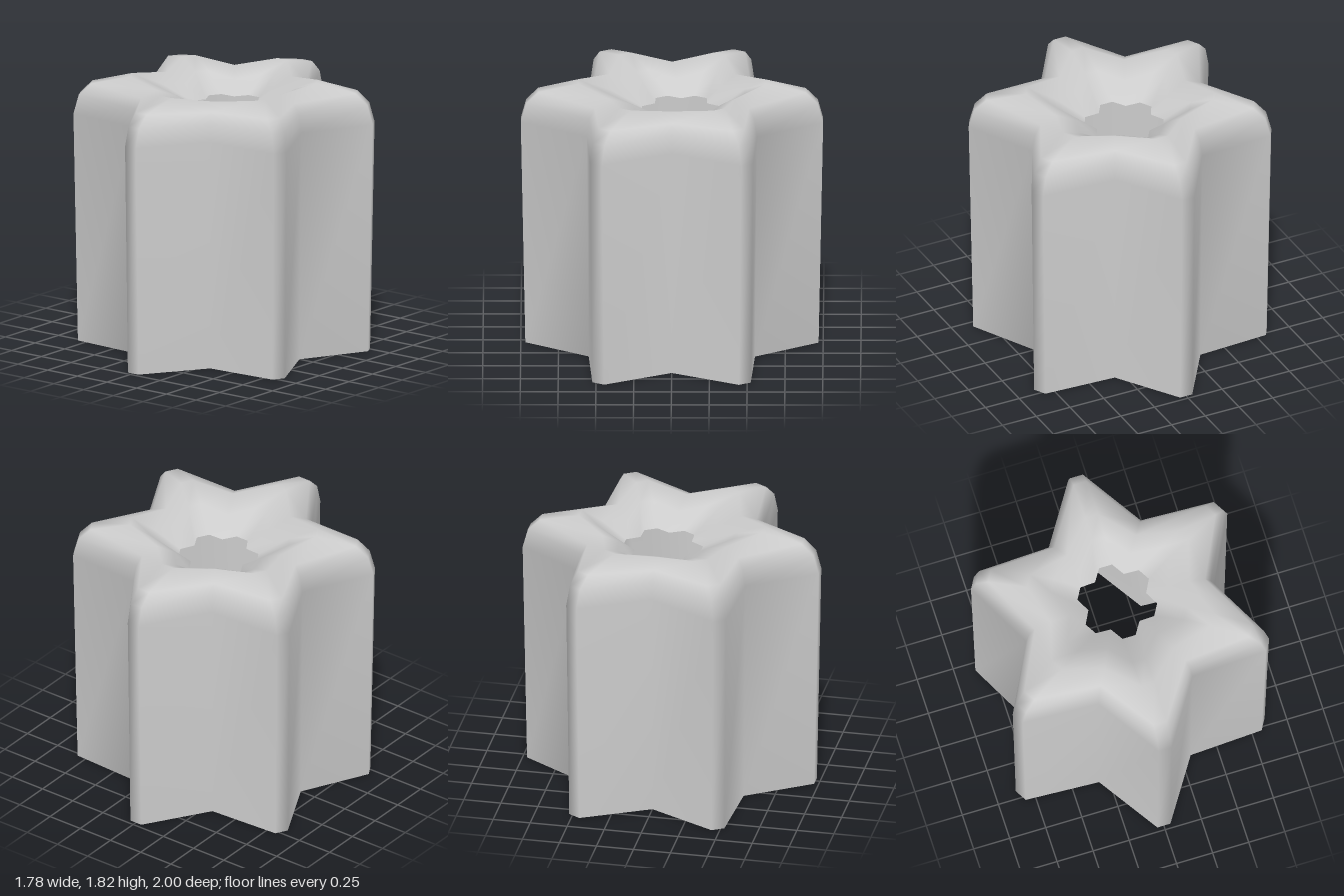
import * as THREE from 'three';

// Star cross-sections from the base, over the shoulder and down into the funnel:
// [tip radius, tip height, notch radius, notch height, centre z]
const RINGS = [
  [0.97, 0, 0.635, 0, 0],
  [1.0, 1.55, 0.65, 1.55, 0],
  [0.965, 1.68, 0.63, 1.67, 0],
  [0.885, 1.76, 0.59, 1.74, 0],
  [0.62, 1.82, 0.48, 1.785, 0],
  [0.45, 1.75, 0.34, 1.72, -0.03],
  [0.26, 1.63, 0.2, 1.63, -0.06],
];
const POINTS = 6;
const TIP_HALF_WIDTH = 0.045;

// One star outline: every point has a narrow blunt tip followed by a notch
function addRing(positions, [tipR, tipY, notchR, notchY, cz]) {
  for (let i = 0; i < POINTS; i++) {
    const t = (i / POINTS) * Math.PI * 2;
    const s = Math.sin(t), c = Math.cos(t);
    for (const w of [-TIP_HALF_WIDTH, TIP_HALF_WIDTH]) {
      positions.push(s * tipR + c * w, tipY, c * tipR - s * w + cz);
    }
    const n = t + Math.PI / POINTS;
    positions.push(Math.sin(n) * notchR, notchY, Math.cos(n) * notchR + cz);
  }
}

// Skin the stacked outlines with shared vertices for smooth shading
function loftStar() {
  const positions = [], indices = [];
  RINGS.forEach((ring) => addRing(positions, ring));
  const count = POINTS * 3;
  for (let r = 0; r < RINGS.length - 1; r++) {
    for (let j = 0; j < count; j++) {
      const k = (j + 1) % count;
      const a = r * count + j, b = r * count + k;
      const d = a + count, e = b + count;
      indices.push(a, b, e, a, e, d);
    }
  }
  const geometry = new THREE.BufferGeometry();
  geometry.setAttribute('position', new THREE.Float32BufferAttribute(positions, 3));
  geometry.setIndex(indices);
  geometry.computeVertexNormals();
  return geometry;
}

export function createModel() {
  const group = new THREE.Group();
  group.name = 'starShell';
  // Hollow shell, open at the base and at the funnel hole
  const material = new THREE.MeshStandardMaterial({ color: 0xcccccc, side: THREE.DoubleSide });
  const shell = new THREE.Mesh(loftStar(), material);
  shell.name = 'hollowStarBody';
  group.add(shell);
  return group;
}
